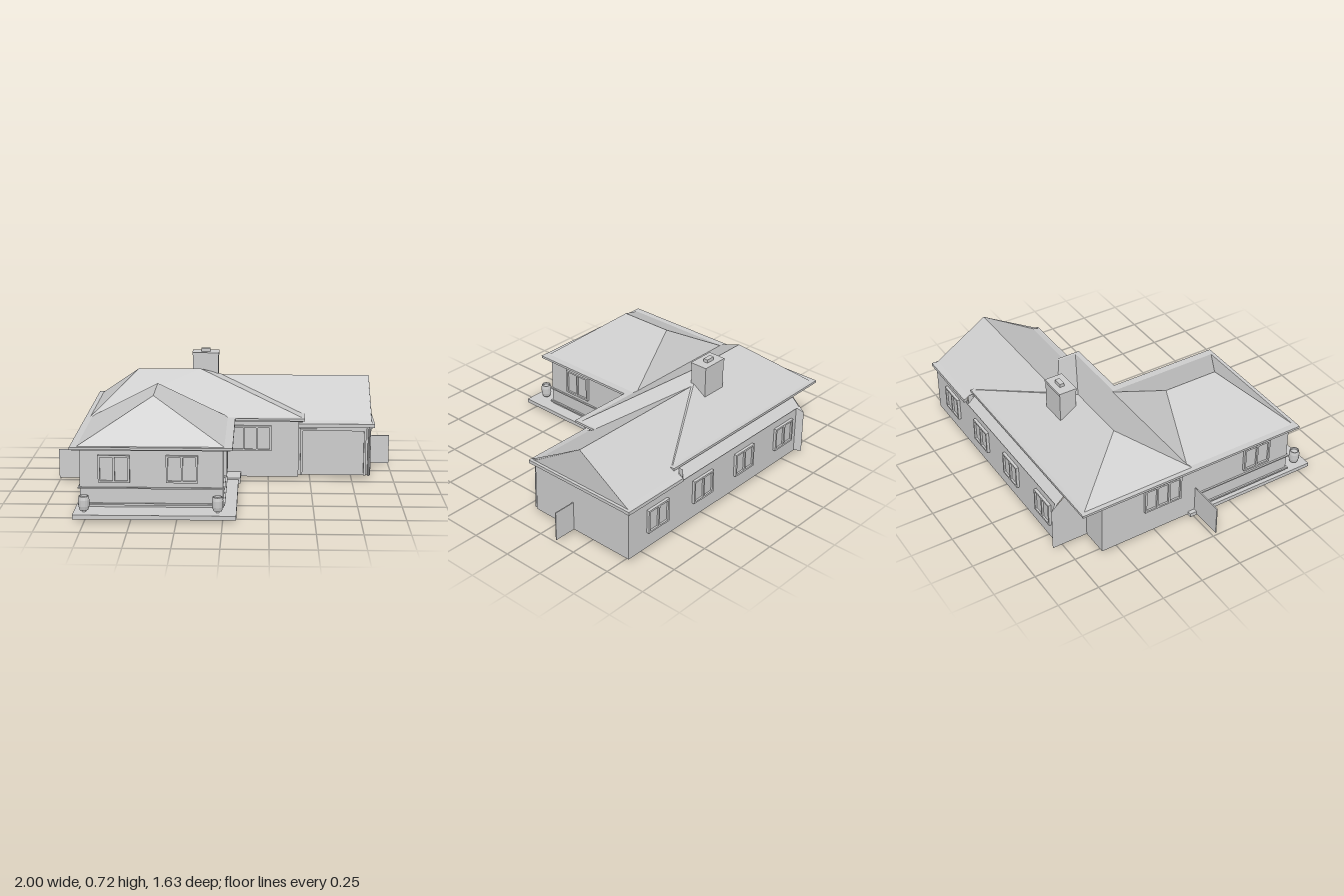
import * as THREE from 'three';

const mat = new THREE.MeshStandardMaterial({ color: 0xcccccc, flatShading: true, side: THREE.DoubleSide });

export function createModel() {
  const root = new THREE.Group();
  root.name = 'house';

  const add = (name, geo, parent = root) => {
    const m = new THREE.Mesh(geo, mat);
    m.name = name;
    parent.add(m);
    return m;
  };

  // Box given by its limits on each axis
  const box = (name, x0, x1, y0, y1, z0, z1, parent = root) => {
    const m = add(name, new THREE.BoxGeometry(x1 - x0, y1 - y0, z1 - z0), parent);
    m.position.set((x0 + x1) / 2, (y0 + y1) / 2, (z0 + z1) / 2);
    return m;
  };

  // Open sheet made of flat convex polygons
  const sheet = (name, polygons) => {
    const pos = [];
    for (const p of polygons)
      for (let i = 1; i < p.length - 1; i++) pos.push(...p[0], ...p[i], ...p[i + 1]);
    const g = new THREE.BufferGeometry();
    g.setAttribute('position', new THREE.Float32BufferAttribute(pos, 3));
    g.computeVertexNormals();
    return add(name, g);
  };

  // Thin walls following a plan path of [x, z] points
  const walls = (name, path, y0, y1) => sheet(name, path.slice(1).map(([x, z], i) => {
    const [a, b] = path[i];
    return [[a, y0, b], [x, y0, z], [x, y1, z], [a, y1, b]];
  }));

  // Flat ring from plan outlines of [x, z] points
  const ring = (name, outer, hole, y, h) => {
    const pts = l => l.map(([x, z]) => new THREE.Vector2(x, -z));
    const s = new THREE.Shape(pts(outer));
    s.holes.push(new THREE.Path(pts(hole)));
    const g = new THREE.ExtrudeGeometry(s, { depth: h, bevelEnabled: false });
    g.rotateX(-Math.PI / 2);
    add(name, g).position.y = y;
  };

  // Hipped roof: base rectangle and two ridge ends
  const hip = (name, x0, x1, z0, z1, y, r, s) => {
    const a = [x0, y, z1], b = [x1, y, z1], c = [x1, y, z0], d = [x0, y, z0];
    const alongX = r[2] === s[2];
    return sheet(name, alongX
      ? [[a, b, s, r], [b, c, s], [c, d, r, s], [d, a, r]]
      : [[a, b, r], [b, c, s, r], [c, d, s], [d, a, r, s]]);
  };

  // Walls: the back steps out from the left corner to the long rear wall
  walls('mainWalls', [[0.43, -0.78], [0.43, -0.04], [-0.79, -0.04], [-0.79, -0.6], [-0.62, -0.6]], 0.018, 0.375);
  walls('wingWalls', [[-0.79, -0.04], [-0.79, 0.66], [0, 0.66], [0, 0.1]], 0.018, 0.375);
  walls('garageWalls', [[0.43, -0.085], [0.865, -0.085], [0.865, -0.78], [0.43, -0.78]], 0.018, 0.335);
  walls('rearWall', [[0.43, -0.78], [-0.62, -0.78]], 0.018, 0.315);

  // Projecting bands around the wing
  for (const [y0, y1] of [[0.05, 0.06], [0.143, 0.151]]) {
    box('frontBand', -0.8, 0.01, y0, y1, 0.655, 0.671);
    box('rightBand', -0.002, 0.01, y0, y1, 0.1, 0.671);
    box('leftBand', -0.8, -0.788, y0, y1, 0.02, 0.671);
  }

  // Eaves: L-shaped ring open in the middle, with a wider gutter on top
  const eave = (name, o, y, h) => ring(name,
    [[-0.81 - o, -0.715 - o], [0.435 + o, -0.715 - o], [0.435 + o, -0.03 + o],
      [0.022 + o, -0.03 + o], [0.022 + o, 0.665 + o], [-0.81 - o, 0.665 + o]],
    [[-0.78, -0.7], [0.42, -0.7], [0.42, -0.05], [-0.01, -0.05], [-0.01, 0.65], [-0.78, 0.65]], y, h);
  eave('soffit', 0.018, 0.364, 0.009);
  eave('gutter', 0.03, 0.37, 0.014);
  box('cornerSoffit', -0.81, -0.62, 0.364, 0.372, -0.715, -0.59);

  // Roofs
  hip('mainRoof', -0.815, 0.455, -0.725, -0.03, 0.382, [-0.55, 0.61, -0.375], [-0.17, 0.61, -0.375]);
  hip('wingRoof', -0.805, 0.01, -0.055, 0.675, 0.382, [-0.4, 0.61, 0.4], [-0.4, 0.61, 0.065]);

  // Garage roof with flatter eaves, buried in the main roof's end slope
  const section = [[-0.055, 0.338], [-0.1, 0.352], [-0.435, 0.562], [-0.765, 0.352], [-0.8, 0.338]];
  const inner = [0.45, 0.45, -0.045, 0.45, 0.45];
  sheet('garageRoof', section.slice(1).map(([z, y], i) => {
    const [a, b] = section[i];
    return [[inner[i], b, a], [0.87, b, a], [0.87, y, z], [inner[i + 1], y, z]];
  }));
  sheet('garageGable', [section.map(([z, y]) => [0.867, y, z])]);
  box('garageFrontFascia', 0.43, 0.885, 0.32, 0.341, -0.085, -0.055);
  box('garageFrontBeam', 0.43, 0.87, 0.308, 0.32, -0.085, -0.07);
  box('garageSideFascia', 0.86, 0.885, 0.322, 0.341, -0.8, -0.055);
  box('garageSideBeam', 0.86, 0.872, 0.312, 0.322, -0.785, -0.07);
  box('garageRearFascia', 0.45, 0.885, 0.32, 0.341, -0.8, -0.775);

  // Lean-to roof along the back, with a flared end wall
  sheet('rearRoof', [[[-0.62, 0.372, -0.72], [0.45, 0.372, -0.72], [0.45, 0.312, -0.785], [-0.62, 0.312, -0.785]]]);
  sheet('rearEndWall', [
    [[-0.625, 0.018, -0.6], [-0.625, 0.018, -0.818], [-0.625, 0.285, -0.818], [-0.625, 0.315, -0.785],
      [-0.625, 0.372, -0.72], [-0.625, 0.372, -0.6]],
    [[-0.625, 0.018, -0.818], [-0.6, 0.018, -0.78], [-0.6, 0.313, -0.78], [-0.625, 0.285, -0.818]],
    [[-0.625, 0.285, -0.818], [-0.6, 0.313, -0.78], [-0.625, 0.315, -0.785]]]);

  // Chimney
  box('chimneyStack', -0.22, -0.06, 0.38, 0.687, -0.52, -0.417);
  box('chimneyCap', -0.223, -0.057, 0.687, 0.702, -0.523, -0.414);
  box('chimneyFlue', -0.167, -0.113, 0.702, 0.722, -0.488, -0.46);

  // Framed windows, built facing +z
  const windowUnit = (x, y, z, w, h, panes, turn) => {
    const g = new THREE.Group();
    g.name = 'window';
    g.position.set(x, y, z);
    g.rotation.y = turn;
    root.add(g);
    const t = 0.011, d = 0.016;
    box('glass', -w / 2, w / 2, -h / 2, h / 2, -0.002, 0.005, g);
    for (const s of [-1, 1]) {
      box('rail', -w / 2, w / 2, s * (h / 2 - t / 2) - t / 2, s * (h / 2 - t / 2) + t / 2, 0, d, g);
    }
    for (let i = 0; i <= panes; i++) {
      const c = -w / 2 + t / 2 + (w - t) * i / panes;
      box('stile', c - t / 2, c + t / 2, -h / 2, h / 2, 0, d, g);
    }
  };
  const H = Math.PI / 2;
  windowUnit(-0.6, 0.257, 0.661, 0.175, 0.154, 2, 0);
  windowUnit(-0.226, 0.257, 0.661, 0.175, 0.154, 2, 0);
  windowUnit(0.142, 0.257, -0.039, 0.25, 0.154, 3, 0);
  windowUnit(0.001, 0.257, 0.43, 0.178, 0.154, 2, H);
  windowUnit(-0.791, 0.257, 0.43, 0.178, 0.154, 2, -H);
  windowUnit(-0.791, 0.257, -0.21, 0.24, 0.154, 3, -H);
  for (const x of [-0.47, -0.1, 0.265, 0.64]) windowUnit(x, 0.19, -0.781, 0.165, 0.145, 2, Math.PI);

  // Recessed entrance door with glazed upper part and two lower panels
  box('wallOverDoor', -0.03, 0, 0.285, 0.375, -0.04, 0.1);
  for (const z of [-0.04, 0.086]) box('doorJamb', -0.03, 0, 0.02, 0.285, z, z + 0.014);
  box('door', -0.03, -0.018, 0.045, 0.285, -0.026, 0.086);
  box('doorUpperPanel', -0.02, -0.01, 0.18, 0.262, 0.002, 0.076);
  for (const z of [0.002, 0.042]) box('doorLowerPanel', -0.02, -0.01, 0.083, 0.15, z, z + 0.034);
  box('doorStep', -0.03, 0.085, 0.012, 0.046, -0.045, 0.1);

  // Garage door and surround
  box('garageDoor', 0.455, 0.82, 0.025, 0.295, -0.09, -0.082);
  box('garageLintel', 0.442, 0.835, 0.295, 0.308, -0.09, -0.066);
  for (const x of [0.442, 0.822]) box('garageJamb', x, x + 0.013, 0.02, 0.308, -0.09, -0.066);
  const pipe = new THREE.LineCurve3(new THREE.Vector3(0.852, 0.02, -0.068), new THREE.Vector3(0.852, 0.32, -0.076));
  add('downpipe', new THREE.TubeGeometry(pipe, 1, 0.007, 8));

  // Side fences
  box('rightFence', 0.865, 1, 0.018, 0.195, -0.374, -0.368);
  box('leftFence', -1, -0.79, 0.018, 0.195, 0.013, 0.019);

  // Terrace slab around the wing, with the wing's floor set above its underside
  ring('terrace', [[-0.815, -0.03], [0.074, -0.03], [0.074, 0.815], [-0.815, 0.815]],
    [[-0.785, -0.01], [-0.005, -0.01], [-0.005, 0.655], [-0.785, 0.655]], 0.013, 0.024);
  box('wingFloor', -0.79, 0, 0.03, 0.037, -0.03, 0.66);

  // Barrel planters on the terrace
  const profile = [[0, 0], [0.01, 0], [0.01, 0.045], [0.024, 0.048], [0.03, 0.07], [0.031, 0.105],
    [0.027, 0.126], [0.022, 0.126], [0.022, 0.115], [0, 0.115]].map(([r, y]) => new THREE.Vector2(r, y));
  for (const x of [-0.758, -0.028]) add('planter', new THREE.LatheGeometry(profile, 16)).position.set(x, 0, 0.748);

  return root;
}
